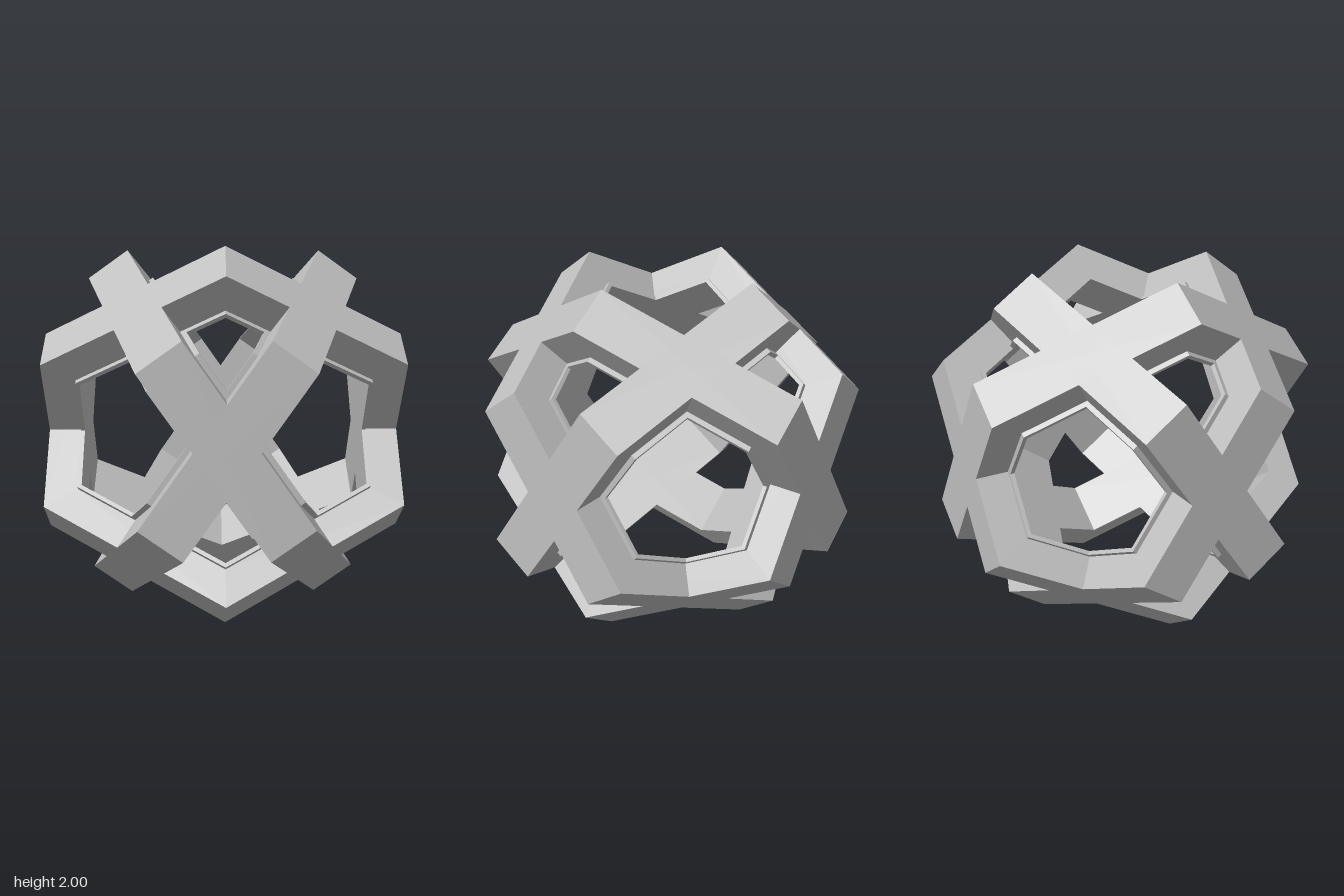
import * as THREE from 'three';

// Four interlocked hexagonal rings, one around each diagonal of a cube.
export function createModel() {
  const group = new THREE.Group();
  group.name = 'interlockedRings';
  const grey = new THREE.MeshStandardMaterial({ color: 0xc0c0c0 });
  grey.name = 'light grey';

  // Ring cross-section: [distance of flat from centre, offset along the axis]
  const outer = 0.9773, ledge = 0.798, inner = 0.776;
  const half = 0.1357, flange = 0.1634;
  const section = [
    [outer, -half], [outer, half],
    [ledge, half], [ledge, flange],
    [inner, flange], [inner, -flange],
    [ledge, -flange], [ledge, -half],
    [outer, -half],
  ].map(([r, y]) => new THREE.Vector2(r / Math.cos(Math.PI / 6), y));

  // Six-sided sweep with flat faces
  const ring = new THREE.LatheGeometry(section, 6).toNonIndexed();
  ring.computeVertexNormals();

  for (const sx of [-1, 1]) {
    for (const sz of [-1, 1]) {
      // Axis along the cube diagonal, one hexagon corner toward the ground
      const axis = new THREE.Vector3(sx, 1, sz).normalize();
      const corner = new THREE.Vector3(sx, -2, sz).normalize();
      const side = new THREE.Vector3().crossVectors(axis, corner);
      const mesh = new THREE.Mesh(ring, grey);
      mesh.name = `hexagonRing${sz > 0 ? 'Front' : 'Back'}${sx > 0 ? 'Left' : 'Right'}`;
      mesh.quaternion.setFromRotationMatrix(new THREE.Matrix4().makeBasis(side, axis, corner));
      mesh.position.y = 1;
      group.add(mesh);
    }
  }
  return group;
}
